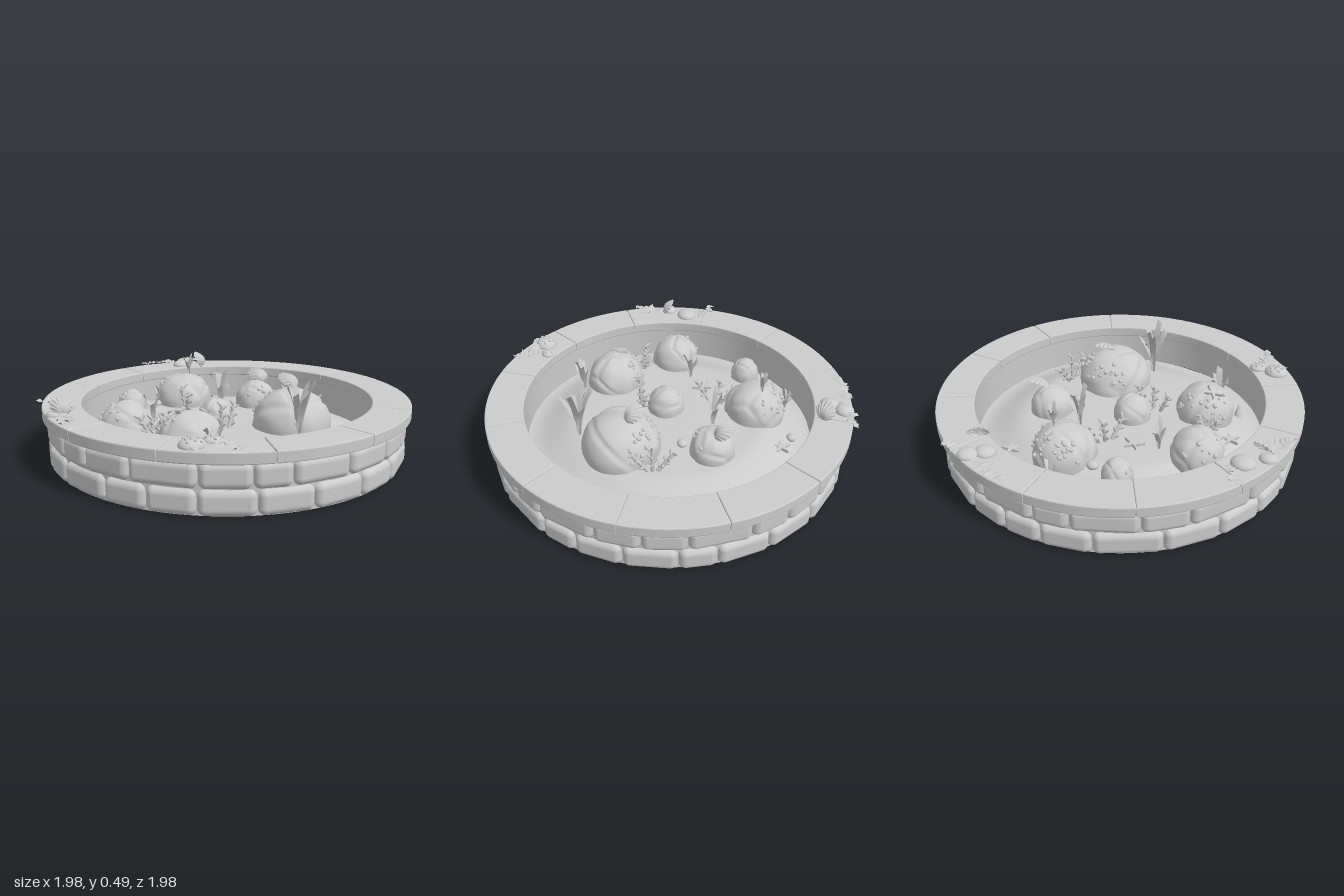
import * as THREE from 'three';
import { mergeVertices } from 'three/addons/utils/BufferGeometryUtils.js';
import { RoundedBoxGeometry } from 'three/addons/geometries/RoundedBoxGeometry.js';
import { ParametricGeometry } from 'three/addons/geometries/ParametricGeometry.js';

const solid = new THREE.MeshStandardMaterial({ color: 0xcccccc });
const thin = new THREE.MeshStandardMaterial({ color: 0xcccccc, side: THREE.DoubleSide });

let seed = 11;
const rnd = (a = 0, b = 1) => {
  seed = (seed * 16807) % 2147483647;
  return a + (b - a) * (seed / 2147483647);
};
const TAU = Math.PI * 2;
const UP = new THREE.Vector3(0, 1, 0);
const { smoothstep } = THREE.MathUtils;
const floorY = (x, z) => 0.17 - 0.09 * smoothstep(Math.hypot(x, z), 0.49, 0.78);

function add(parent, name, geo, mat = solid, x = 0, y = 0, z = 0) {
  const m = new THREE.Mesh(geo, mat);
  m.name = name;
  m.position.set(x, y, z);
  parent.add(m);
  return m;
}

function group(parent, name, x = 0, y = 0, z = 0) {
  const g = new THREE.Group();
  g.name = name;
  g.position.set(x, y, z);
  parent.add(g);
  return g;
}

// Move every vertex by a rule, then smooth the result
function reshape(geo, rule) {
  const p = geo.attributes.position, v = new THREE.Vector3();
  for (let i = 0; i < p.count; i++) {
    rule(v.fromBufferAttribute(p, i));
    p.setXYZ(i, v.x, v.y, v.z);
  }
  geo.deleteAttribute('normal');
  geo.deleteAttribute('uv');
  const out = mergeVertices(geo, 1e-5);
  out.computeVertexNormals();
  return out;
}

// One course of softly rounded stones bent around the wall, backs flush with the mortar
function stoneCourse(parent, y, start) {
  const n = 23, R = 0.925;
  const widths = Array.from({ length: n }, () => rnd(0.65, 1.25));
  const total = widths.reduce((a, b) => a + b);
  let a = start;
  for (const w of widths) {
    const arc = (w / total) * TAU, mid = a + arc / 2;
    const box = new RoundedBoxGeometry(arc * R, 0.126, 0.08, 5, 0.036);
    add(parent, 'wallStone', reshape(box, v => {
      const t = mid - v.x / R, r = Math.max(R + v.z, 0.938);
      v.set(r * Math.cos(t), y + v.y, r * Math.sin(t));
    }));
    a += arc;
  }
}

// Coping slab between two joints
function copingSlab(a0, a1) {
  const s = new THREE.Shape();
  s.absarc(0, 0, 0.982, a0 + 0.008, a1 - 0.008, false);
  s.absarc(0, 0, 0.79, a1 - 0.0095, a0 + 0.0095, true);
  return new THREE.ExtrudeGeometry(s, {
    depth: 0.046, bevelThickness: 0.006, bevelSize: 0.006, bevelSegments: 2, curveSegments: 14,
  }).rotateX(-Math.PI / 2);
}

// Boulder: a domed sphere split into swollen plates by shallow cracks
function boulder(parent, x, z, r, top, barnacles, side) {
  const g = group(parent, 'boulder', x, 0.19, z), h = top - 0.19;
  const plates = Array.from({ length: 10 }, () =>
    new THREE.Vector3(rnd(-1, 1), rnd(-0.3, 1), rnd(-1, 1)).normalize());
  const reach = d => {
    const [a, b] = plates.map(n => d.dot(n)).sort((p, q) => q - p);
    return 0.955 + 0.05 * smoothstep(a - b, 0, 0.16) + 0.012 * Math.sin(7 * d.x + 4 * d.z) * Math.cos(6 * d.y);
  };
  const place = v => {
    v.multiplyScalar(reach(v));
    v.set(v.x * r, v.y * h * (v.y < 0 ? 1.5 : 1), v.z * r);
    v.y = Math.max(v.y, floorY(x + v.x, z + v.z) - 0.21);
    return v;
  };
  add(g, 'boulderBody', reshape(new THREE.SphereGeometry(1, 64, 36, 0, TAU, 0, Math.PI * 0.64), place), thin);
  for (let i = 0; i < barnacles; i++) {
    const t = side + rnd(-1.3, 1.3), e = rnd(0.15, 0.95), s = rnd(0.007, 0.015);
    const dir = new THREE.Vector3(Math.cos(t) * Math.cos(e), Math.sin(e), Math.sin(t) * Math.cos(e));
    const b = add(g, 'barnacle', new THREE.SphereGeometry(s, 8, 6));
    b.quaternion.setFromUnitVectors(UP, dir);
    b.position.copy(place(dir));
  }
}

// Round ribbed shell, hinge at its origin and standing upward
function fanShell(parent, x, y, z, s, rx, ry) {
  const geo = new ParametricGeometry((u, v, p) => {
    const t = (u - 0.5) * TAU * 0.94, rib = Math.cos(u * TAU * 13), q = v * (1 + 0.025 * rib);
    p.set(q * 0.55 * Math.sin(t), q * (0.5 + 0.5 * Math.cos(t)),
      0.3 * Math.sin(Math.PI * Math.pow(v, 0.8)) * Math.cos(t / 2.1) + 0.02 * v * rib);
  }, 78, 10);
  const m = add(parent, 'fanShell', geo.scale(s, s, s), thin, x, y, z);
  m.rotation.set(rx, ry, 0, 'YXZ');
}

// Tuft of flat, bent blades
function tuft(parent, x, y, z, h, n, w) {
  const g = group(parent, 'waterGrass', x, y, z);
  for (let i = 0; i < n; i++) {
    const len = h * (i ? rnd(0.55, 0.98) : 1), lean = rnd(0.12, 0.32) * h;
    const blade = new THREE.PlaneGeometry(w, len, 1, 6).translate(0, len / 2, 0);
    const m = add(g, 'blade', reshape(blade, v => {
      const t = v.y / len;
      v.x *= 0.55 + 0.9 * t * (1.3 - t);
      v.z += lean * t * t;
      if (t > 0.99) v.y += v.x * 0.7;
    }), thin);
    m.rotation.y = (i / n) * TAU + rnd(-0.4, 0.4);
  }
}

// Stems set with short side nubs
function coral(parent, x, z, h, spread, heading) {
  const g = group(parent, 'coral', x, floorY(x, z), z);
  for (let k = -1; k <= 1; k++) {
    const stem = group(g, 'coralStem', Math.cos(heading) * spread * k, 0, Math.sin(heading) * spread * k);
    const len = h * rnd(0.75, 1);
    stem.rotation.set(rnd(-0.3, 0.3), -heading, -k * 0.4);
    add(stem, 'stem', new THREE.CylinderGeometry(0.007, 0.012, len, 7), solid, 0, len / 2, 0);
    for (let i = 1; i < 9; i++) {
      const arm = group(stem, 'coralArm', 0, (i / 8.5) * len, 0);
      arm.rotation.set(0, i * 2.2, 0.95);
      add(arm, 'nub', new THREE.CylinderGeometry(0.006, 0.008, 0.034, 6), solid, 0, 0.017, 0);
    }
  }
}

function starfish(parent, x, y, z, r, turn) {
  const s = new THREE.Shape();
  for (let i = 0; i < 10; i++) {
    const a = (i / 10) * TAU + turn, q = i % 2 ? r * 0.25 : r * 0.92;
    s[i ? 'lineTo' : 'moveTo'](q * Math.cos(a), q * Math.sin(a));
  }
  const geo = new THREE.ExtrudeGeometry(s, { depth: 0.003, bevelThickness: 0.008, bevelSize: 0.004, bevelSegments: 3 });
  return add(parent, 'starfish', geo.rotateX(-Math.PI / 2), solid, x, y, z);
}

// Ragged strip of weed lying on the coping
function weed(parent, x, z, len, heading) {
  const geo = new THREE.PlaneGeometry(len, 0.045, 18, 2).rotateX(-Math.PI / 2);
  const m = add(parent, 'weed', reshape(geo, v => {
    const t = v.x / len;
    v.z = v.z * (1 - 1.2 * t * t) * rnd(0.5, 1.5) + 0.012 * Math.sin(t * 12);
    v.y = 0.006 + rnd(0, 0.018);
  }), thin, x, 0.31, z);
  m.rotation.y = -heading;
}

// Low rounded shell, optionally dotted with bumps
function mound(parent, x, z, r, bumps = 0) {
  const g = group(parent, 'roundShell', x, 0.312, z);
  add(g, 'shellDome', new THREE.SphereGeometry(r, 24, 12).scale(1, 0.55, 0.92));
  for (let i = 0; i < bumps; i++) {
    const a = i * 2.4, q = 0.8 * Math.sqrt(i / bumps);
    add(g, 'bump', new THREE.SphereGeometry(0.008, 8, 6), solid,
      q * r * Math.cos(a), r * 0.55 * Math.sqrt(1 - q * q), q * r * 0.92 * Math.sin(a));
  }
}

export function createModel() {
  const model = new THREE.Group();
  model.name = 'rockPool';

  // Wall, coping and inner lining
  const basin = group(model, 'basin', 0.008, 0, 0);
  stoneCourse(basin, 0.064, 0.1);
  stoneCourse(basin, 0.188, 0.25);
  add(basin, 'mortar', new THREE.CylinderGeometry(0.94, 0.94, 0.25, 96, 1, true), thin, 0, 0.127, 0);
  const coping = group(basin, 'coping', 0, 0.257, 0);
  for (let i = 0; i < 12; i++) {
    const a = ((30 * i - 3.5) * Math.PI) / 180;
    add(coping, 'copingSlab', copingSlab(a, a + Math.PI / 6));
  }
  const bed = [[0.79, 0], [0.98, 0], [0.98, 0.044], [0.79, 0.044], [0.79, 0]].map(([r, y]) => new THREE.Vector2(r, y));
  add(coping, 'copingBed', new THREE.LatheGeometry(bed, 96));
  add(basin, 'lining', new THREE.CylinderGeometry(0.788, 0.788, 0.22, 96, 1, true), thin, 0, 0.19, 0);

  // Boulders: x, z, radius, top, barnacles and the side they grow on
  const rocks = [
    [-0.21, -0.56, 0.08, 0.285, 3, 4], [0.12, -0.47, 0.165, 0.345, 34, -1.2], [-0.51, -0.23, 0.138, 0.33, 12, 3.9],
    [0.37, -0.11, 0.12, 0.32, 5, 2], [-0.07, -0.01, 0.102, 0.305, 3, 4], [-0.43, 0.18, 0.162, 0.345, 26, 4.4],
    [0.175, 0.32, 0.212, 0.38, 34, -1.1],
  ];
  for (const r of rocks) boulder(model, ...r);

  // Sand floor, raised in the middle and open beneath the boulders
  const sand = new THREE.RingGeometry(0.002, 0.79, 128, 56).rotateX(-Math.PI / 2);
  const p = sand.attributes.position, kept = [], id = sand.index.array;
  for (let i = 0; i < id.length; i += 3) {
    const t = [id[i], id[i + 1], id[i + 2]];
    const cx = t.reduce((s, k) => s + p.getX(k), 0) / 3, cz = t.reduce((s, k) => s + p.getZ(k), 0) / 3;
    if (!rocks.some(([x, z, r]) => Math.hypot(cx - x, cz - z) < r * 0.88)) kept.push(...t);
  }
  sand.setIndex(kept);
  add(basin, 'sandFloor', reshape(sand, v => {
    v.y = floorY(v.x, v.z) + 0.003 * Math.sin(9 * v.x) * Math.cos(8 * v.z);
  }), thin);

  // Grass tufts: x, z, height, blades, width
  for (const [x, z, h, n, w] of [[0, 0.51, 0.31, 9, 0.038], [-0.45, 0.37, 0.19, 6, 0.04], [0.1, -0.67, 0.18, 6, 0.025],
    [-0.31, -0.25, 0.17, 6, 0.028], [0.16, -0.2, 0.23, 6, 0.032]]) tuft(model, x, floorY(x, z), z, h, n, w);
  tuft(model, 0.17, 0.33, -0.48, 0.13, 10, 0.02);

  // Corals, starfish and pebbles
  for (const c of [[-0.03, -0.29, 0.15, 0.035, 2.4], [-0.15, 0.11, 0.15, 0.05, 0.3], [0.41, 0.23, 0.16, 0.025, 1.9],
    [-0.5, -0.02, 0.14, 0.012, 0.2]]) coral(model, ...c);
  for (const [x, z, r, t] of [[0.42, -0.49, 0.055, 0.3], [-0.18, -0.27, 0.06, 0.9], [-0.62, 0.01, 0.055, 0.1]])
    starfish(model, x, floorY(x, z) + 0.01, z, r, t);
  starfish(model, -0.48, 0.335, 0.13, 0.05, 0.6).rotation.set(-0.25, 0, 0.25);
  for (const [x, z, r] of [[-0.06, -0.52, 0.032], [0.35, -0.59, 0.03], [0.27, 0.02, 0.03]])
    add(model, 'pebble', new THREE.SphereGeometry(r, 16, 10).scale(1, 0.7, 0.9), solid, x, floorY(x, z) + 0.012, z);
  add(model, 'spireShell', new THREE.ConeGeometry(0.03, 0.09, 10), solid, -0.59, floorY(-0.59, 0.31) + 0.03, 0.31);

  // Round ribbed shells on boulders and coping
  fanShell(model, 0.22, 0.37, 0.31, 0.115, -1.0, 0.1);
  fanShell(model, 0.42, 0.305, -0.1, 0.115, -1.0, -0.2);
  fanShell(model, -0.86, 0.312, -0.28, 0.1, -0.6, -0.4);
  fanShell(model, 0.48, 0.312, -0.68, 0.1, -0.6, 0.5);

  // Smooth shells and weed on the coping
  for (const s of [[0.38, -0.78, 0.055], [0.45, -0.83, 0.055], [-0.78, -0.4, 0.062], [-0.88, -0.32, 0.045],
    [-0.74, 0.52, 0.065, 12], [-0.63, 0.53, 0.045, 7]]) mound(model, ...s);
  for (const w of [[0.29, -0.91, 0.22, 0.45], [0.38, -0.88, 0.2, 0.6], [0.53, -0.82, 0.16, 0.3], [-0.77, -0.52, 0.16, 1.1],
    [-0.9, -0.23, 0.2, 2.2], [-0.92, -0.16, 0.13, 2.7], [-0.7, 0.6, 0.2, 0.5], [-0.65, 0.66, 0.15, 1.7]]) weed(model, ...w);
  return model;
}
